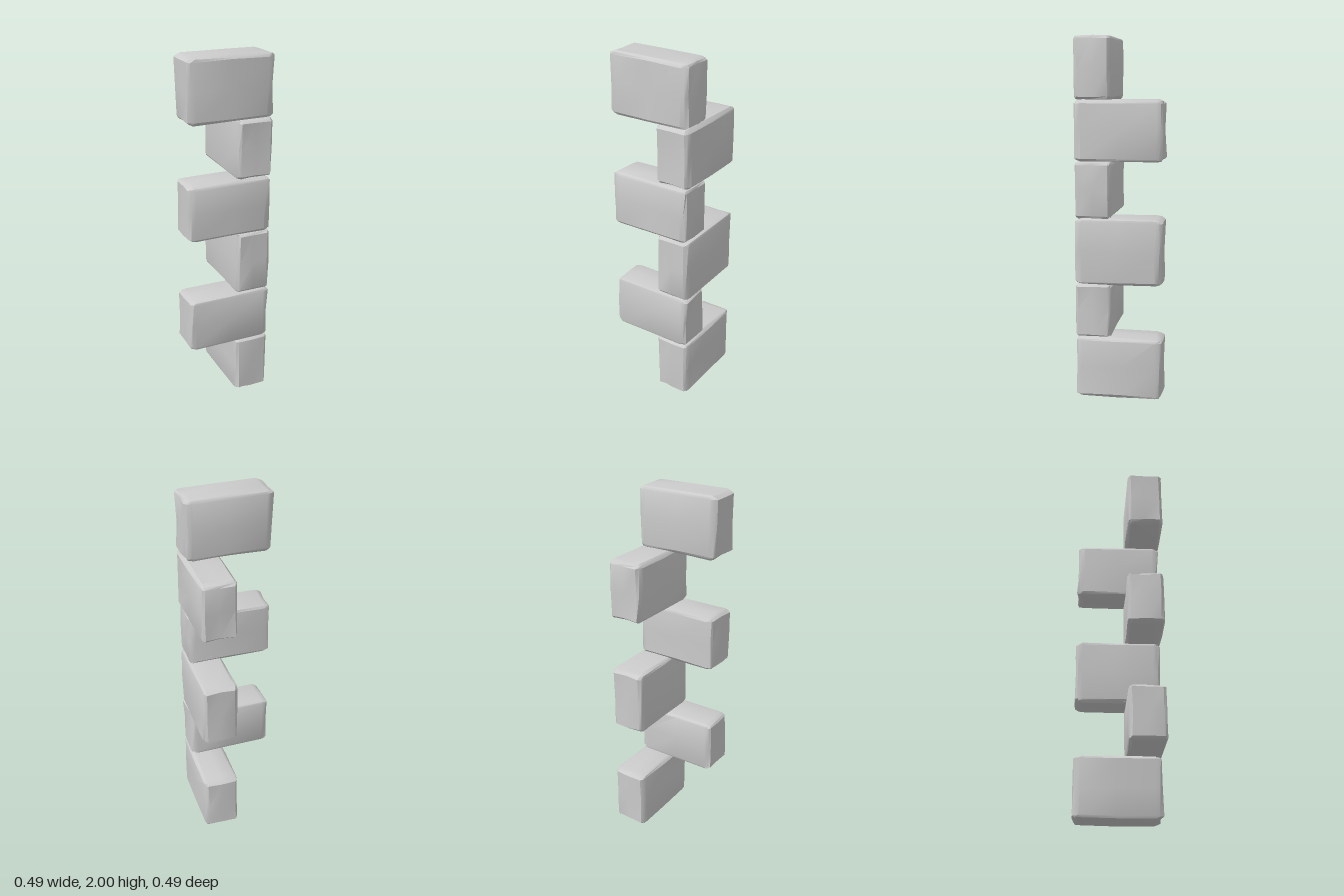
import * as THREE from 'three';
import { mergeVertices, toCreasedNormals } from 'three/addons/utils/BufferGeometryUtils.js';

// Repeatable noise in -1..1 from a lattice point and a seed
function noise(i, j, k, seed) {
  const s = Math.sin(i * 12.99 + j * 78.23 + k * 37.72 + seed * 19.19) * 43758.5453;
  return (s - Math.floor(s)) * 2 - 1;
}

// Rough-hewn block: worn edges, slightly uneven faces, smooth shading with creases
function stoneGeometry(size, bevel, seed) {
  let geo = new THREE.BoxGeometry(2, 2, 2, 4, 4, 4);
  geo.deleteAttribute('normal');
  geo.deleteAttribute('uv');
  geo = mergeVertices(geo);
  const pos = geo.attributes.position;
  for (let v = 0; v < pos.count; v++) {
    const cell = [pos.getX(v), pos.getY(v), pos.getZ(v)].map((t) => Math.round(t * 2));
    const outer = cell.filter((c) => Math.abs(c) === 2).length;
    const p = cell.map((c, a) => {
      const half = size[a] / 2;
      const level = Math.abs(c);
      // Inner grid lines sit at the bevel, edges and corners are pulled in
      let d = level === 0 ? 0 : level === 1 ? half - bevel[a] : half;
      if (level === 2 && outer > 1) d -= bevel[a] * (outer === 3 ? 0.5 : 0.36);
      const rough = noise(cell[0] + a * 7, cell[1], cell[2], seed);
      return Math.sign(c) * d + rough * (level === 0 ? 0.008 : bevel[a] * 0.17);
    });
    pos.setXYZ(v, ...p);
  }
  return toCreasedNormals(geo, 0.55);
}

export function createModel() {
  const group = new THREE.Group();
  group.name = 'cornerStones';
  const material = new THREE.MeshStandardMaterial({ color: 0xcccccc });

  // Bottom and top of each course; stones alternate between the two walls
  const courses = [
    [0.005, 0.35], [0.35, 0.657], [0.655, 1.02],
    [1.018, 1.331], [1.332, 1.662], [1.66, 2.0],
  ];
  courses.forEach(([bottom, top], i) => {
    const alongX = i % 2 === 1;
    const height = top - bottom;
    const size = alongX ? [0.478, height, 0.205] : [0.203, height, 0.478];
    const bevel = alongX ? [0.036, 0.018, 0.02] : [0.02, 0.018, 0.036];
    const stone = new THREE.Mesh(stoneGeometry(size, bevel, i + 1), material);
    stone.name = (alongX ? 'sideStone' : 'depthStone') + (i + 1);
    stone.position.set(alongX ? -0.004 : 0.14, (bottom + top) / 2, alongX ? 0.146 : 0.003);
    group.add(stone);
  });
  return group;
}
